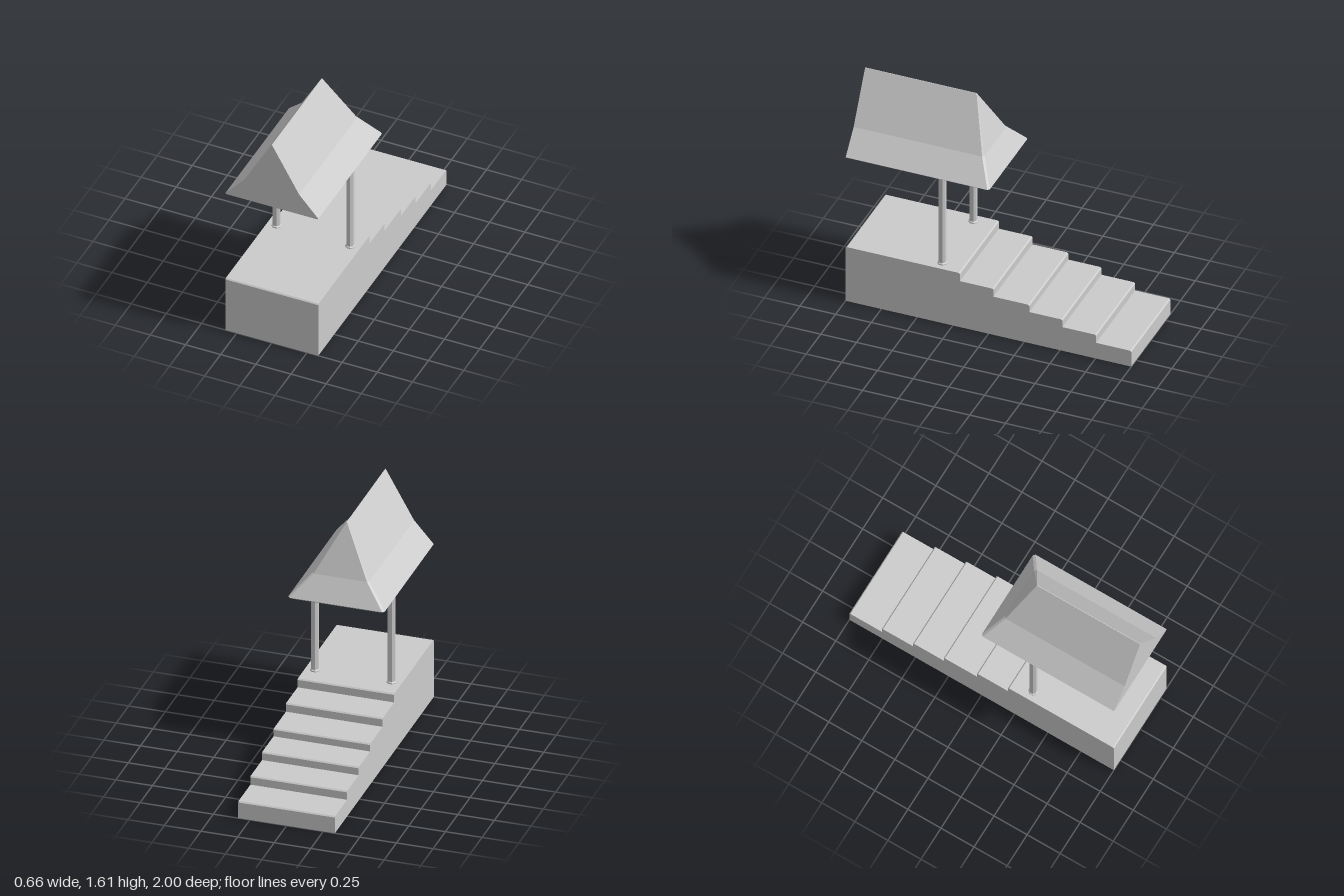
import * as THREE from 'three';

const material = new THREE.MeshStandardMaterial({ color: 0xcccccc, flatShading: true });
const WIDTH = 0.66;
const CHAMFER = 0.008;

// Stepped side profile with chamfered step edges, extruded across the width
function createStairs() {
  const treads = [[0.2, 0.42], [-0.035, 0.358], [-0.286, 0.297], [-0.518, 0.242], [-0.754, 0.184], [-1, 0.122]];
  const shape = new THREE.Shape();
  shape.moveTo(-1, 0);
  shape.lineTo(1, 0);
  shape.lineTo(1, treads[0][1] - CHAMFER);
  shape.lineTo(1 - CHAMFER, treads[0][1]);
  treads.forEach(([z, y], i) => {
    if (i > 0) shape.lineTo(treads[i - 1][0], y);
    shape.lineTo(z + CHAMFER, y);
    shape.lineTo(z, y - CHAMFER);
  });
  shape.closePath();
  const geometry = new THREE.ExtrudeGeometry(shape, { depth: WIDTH, bevelEnabled: false });
  geometry.translate(0, 0, -WIDTH / 2).rotateY(-Math.PI / 2);
  return geometry;
}

// Octagonal post with a small flared foot and head
function createPost() {
  const bottom = 0.418, top = 1.112;
  const profile = [
    [0, bottom], [0.033, bottom], [0.033, bottom + 0.009], [0.026, bottom + 0.016],
    [0.026, top - 0.014], [0.033, top - 0.008], [0.033, top], [0, top],
  ].map(([r, y]) => new THREE.Vector2(r, y));
  return new THREE.LatheGeometry(profile, 8, Math.PI / 8);
}

// Flared roof: level rings with a flat front, a hipped back and chamfered hips
function createRoof() {
  const levels = [[0.323, 1.11], [0.33, 1.117], [0.195, 1.27], [0.002, 1.612]];
  const rings = levels.map(([w, y]) => {
    const back = 0.22 - 0.68 * w;
    const c = Math.min(0.013, w * 0.5);
    return [[-w, 1], [w, 1], [w, back + c], [w - c, back], [c - w, back], [-w, back + c]]
      .map(([x, z]) => [x, y, z]);
  });
  const positions = [];
  const face = (...corners) => {
    for (let i = 1; i < corners.length - 1; i++) {
      positions.push(...corners[0], ...corners[i], ...corners[i + 1]);
    }
  };
  for (let l = 0; l < rings.length - 1; l++) {
    const a = rings[l], b = rings[l + 1];
    a.forEach((p, i) => {
      const j = (i + 1) % a.length;
      face(p, a[j], b[j], b[i]);
    });
  }
  face(...rings[rings.length - 1]);
  face(...[...rings[0]].reverse());
  const geometry = new THREE.BufferGeometry();
  geometry.setAttribute('position', new THREE.Float32BufferAttribute(positions, 3));
  geometry.computeVertexNormals();
  return geometry;
}

export function createModel() {
  const model = new THREE.Group();
  model.name = 'roofedStairway';
  const add = (name, geometry) => {
    const mesh = new THREE.Mesh(geometry, material);
    mesh.name = name;
    model.add(mesh);
    return mesh;
  };

  add('steppedBase', createStairs());
  add('roof', createRoof());

  // One post on each side
  const post = createPost();
  for (const side of [-1, 1]) {
    add(side > 0 ? 'leftPost' : 'rightPost', post).position.set(side * 0.262, 0, 0.351);
  }
  return model;
}
